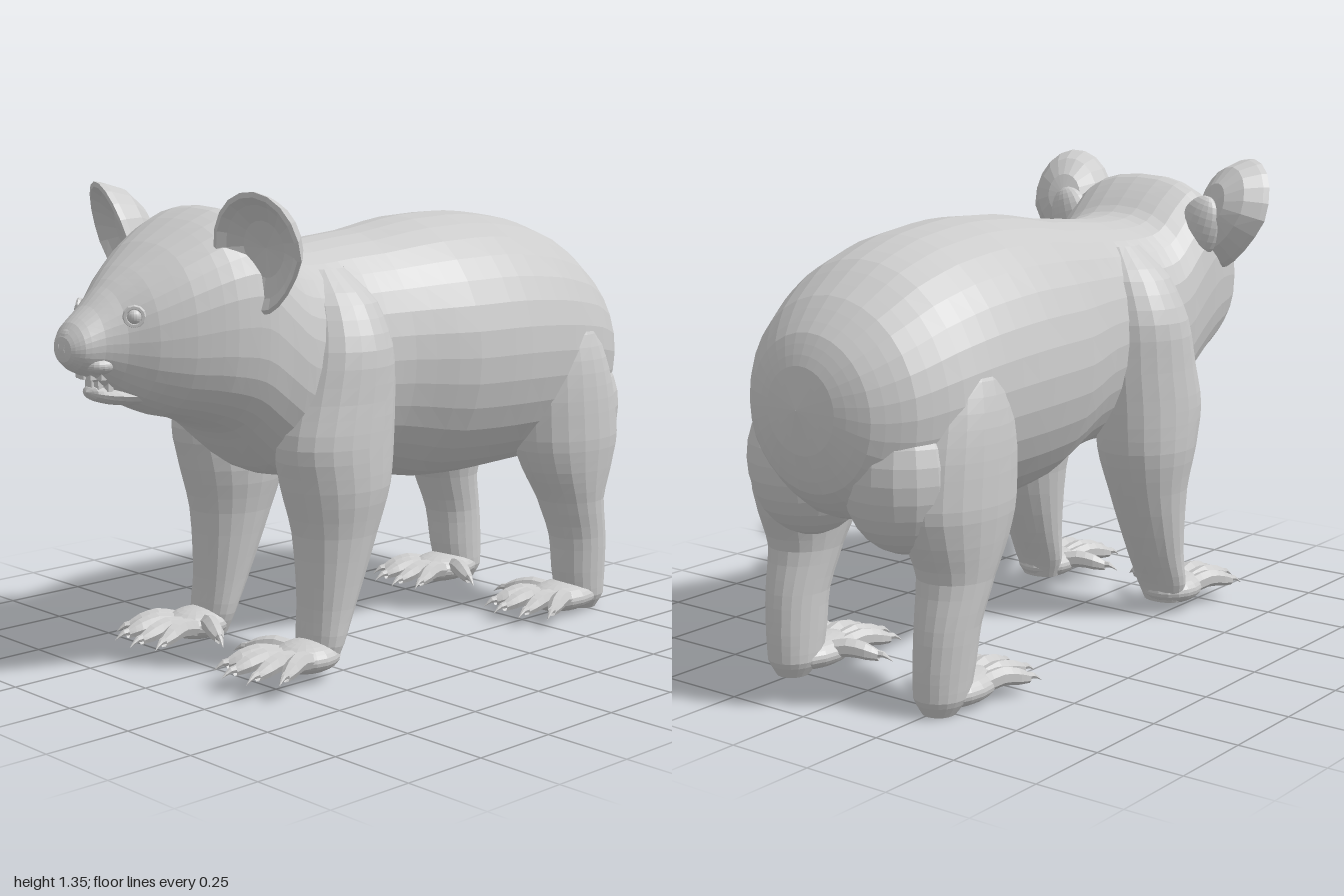
import * as THREE from 'three';

const material = new THREE.MeshStandardMaterial({ color: 0xcccccc, flatShading: true, side: THREE.DoubleSide });

function add(parent, name, geometry, x = 0, y = 0, z = 0) {
  const mesh = new THREE.Mesh(geometry, material);
  mesh.name = name;
  mesh.position.set(x, y, z);
  parent.add(mesh);
  return mesh;
}

// Smooth skin over sections [x, y, z, radius, second radius, roundness (1 = ellipse, less = squarer)].
// Upright sections lie across z (rows run toward +z); flat ones lie across y (rows run downward).
function loft(rows, sides, steps, upright = true, side = 1) {
  const centres = new THREE.CatmullRomCurve3(rows.map(r => new THREE.Vector3(r[0] * side, r[1], r[2])));
  const radii = new THREE.CatmullRomCurve3(rows.map(r => new THREE.Vector3(r[3], r[4], r[5] ?? 1)));
  const position = [], index = [];
  for (let i = 0; i <= steps; i++) {
    const c = centres.getPoint(i / steps), r = radii.getPoint(i / steps);
    const bend = t => Math.sign(t) * Math.abs(t) ** r.z;
    for (let j = 0; j < sides; j++) {
      const a = (j / sides) * Math.PI * 2;
      const u = bend(Math.cos(a)) * Math.max(r.x, 0.0005), v = bend(Math.sin(a)) * Math.max(r.y, 0.0005);
      position.push(c.x + u, c.y + (upright ? v : 0), c.z + (upright ? 0 : v));
      if (i === steps) continue;
      const p = i * sides + j, q = i * sides + (j + 1) % sides;
      index.push(p, q, q + sides, p, q + sides, p + sides);
    }
  }
  const geometry = new THREE.BufferGeometry();
  geometry.setAttribute('position', new THREE.Float32BufferAttribute(position, 3));
  geometry.setIndex(index);
  geometry.computeVertexNormals();
  return geometry;
}

function ellipsoid(rx, ry, rz) {
  return new THREE.SphereGeometry(1, 18, 14).scale(rx, ry, rz);
}

// Rump to nose in one skin: depth, top, bottom, half width, roundness
const trunk = [
  [-1, 0.81, 0.81, 0, 1], [-0.985, 0.92, 0.69, 0.115, 1], [-0.95, 1.0, 0.585, 0.205, 1], [-0.87, 1.085, 0.51, 0.288, 1],
  [-0.75, 1.165, 0.475, 0.342, 1], [-0.6, 1.215, 0.455, 0.362, 1], [-0.4, 1.24, 0.45, 0.365, 1],
  [-0.2, 1.235, 0.46, 0.348, 1], [0, 1.205, 0.51, 0.285, 1], [0.12, 1.195, 0.525, 0.265, 1],
  [0.28, 1.183, 0.53, 0.275, 0.92], [0.38, 1.195, 0.555, 0.285, 0.88], [0.46, 1.255, 0.615, 0.285, 0.85],
  [0.54, 1.298, 0.685, 0.285, 0.8], [0.63, 1.268, 0.727, 0.265, 0.8], [0.73, 1.212, 0.755, 0.22, 0.85],
  [0.81, 1.155, 0.79, 0.168, 0.92], [0.87, 1.105, 0.83, 0.115, 1], [0.92, 1.06, 0.87, 0.085, 1],
  [0.97, 1.02, 0.895, 0.066, 1], [0.995, 0.985, 0.92, 0.037, 1], [1, 0.955, 0.95, 0, 1],
].map(([z, top, bottom, half, round]) => [0, (top + bottom) / 2, z, half, (top - bottom) / 2, round]);

const frontLeg = [
  [0.14, 1.12, 0.22, 0.05, 0.06], [0.175, 1.03, 0.215, 0.12, 0.12], [0.207, 0.91, 0.22, 0.142, 0.15],
  [0.217, 0.77, 0.238, 0.14, 0.172], [0.222, 0.65, 0.257, 0.139, 0.185], [0.22, 0.53, 0.25, 0.138, 0.165],
  [0.222, 0.4, 0.255, 0.114, 0.125], [0.226, 0.2, 0.293, 0.09, 0.075], [0.23, 0.1, 0.32, 0.082, 0.052],
  [0.23, 0.04, 0.33, 0.06, 0.04],
];

const hindLeg = [
  [0.18, 1.0, -0.64, 0.06, 0.06], [0.22, 0.91, -0.65, 0.12, 0.115], [0.24, 0.8, -0.66, 0.136, 0.155],
  [0.25, 0.68, -0.67, 0.138, 0.182], [0.253, 0.56, -0.68, 0.137, 0.188], [0.26, 0.46, -0.685, 0.12, 0.158],
  [0.264, 0.36, -0.698, 0.1, 0.108], [0.265, 0.24, -0.733, 0.085, 0.093], [0.262, 0.13, -0.745, 0.078, 0.09],
  [0.26, 0.05, -0.755, 0.072, 0.078], [0.26, 0.005, -0.765, 0.045, 0.045],
];

// Flat palm with four splayed toes, an inner thumb and hooked claws
function foot(parent, name, side, x, y, z, palmLength) {
  const group = new THREE.Group();
  group.name = name;
  group.position.set(x * side, y, z);
  parent.add(group);
  add(group, 'palm', ellipsoid(0.088, 0.046, palmLength));
  const toes = [[-1.15, -0.03, 0, 0.2], [-0.32, -0.045, 0.05, 0.2], [-0.08, -0.018, 0.055, 0.22],
    [0.14, 0.022, 0.05, 0.213], [0.4, 0.045, 0.03, 0.19]];
  for (const [turn, x0, z0, length] of toes) {
    const toe = loft([[0, 0, 0, 0.028, 0.028], [0, 0.016, length * 0.35, 0.026, 0.027],
      [0, 0.008, length * 0.62, 0.024, 0.024], [0, -0.002, length * 0.8, 0.013, 0.015]], 7, 6);
    const claw = loft([[0, 0.002, length * 0.72, 0.01, 0.013], [0, 0.002, length * 0.87, 0.008, 0.009],
      [0, -0.016, length, 0, 0]], 6, 4);
    for (const [part, geometry] of [['toe', toe], ['claw', claw]]) {
      add(group, part, geometry, x0 * side, 0, z0).rotation.y = turn * side;
    }
  }
}

export function createModel() {
  const model = new THREE.Group();
  model.name = 'koala';
  add(model, 'bodyAndHead', loft(trunk, 32, 63));

  const face = new THREE.Group();
  face.name = 'face';
  model.add(face);

  // Lower jaw, teeth and nose
  add(face, 'lowerJaw', loft([[0, 0.83, 0.68, 0.12, 0.06], [0, 0.822, 0.8, 0.095, 0.035],
    [0, 0.825, 0.87, 0.06, 0.026], [0, 0.832, 0.91, 0.035, 0.018], [0, 0.835, 0.925, 0, 0]], 14, 12));
  for (let i = -2; i <= 2; i++) {
    const z = 0.93 - 0.006 * i * i;
    add(face, 'upperTooth', new THREE.BoxGeometry(0.02, 0.04, 0.018), i * 0.022, 0.89, z);
    add(face, 'lowerTooth', new THREE.BoxGeometry(0.018, 0.03, 0.016), i * 0.02, 0.852, z - 0.025);
  }
  add(face, 'nose', ellipsoid(0.045, 0.045, 0.03), 0, 0.965, 0.968);

  // Cupped ear: convex back, thick rim, hollow front facing +z
  const ear = new THREE.LatheGeometry([[0, -0.095], [0.06, -0.087], [0.112, -0.052], [0.143, 0], [0.15, 0.018],
    [0.138, 0.022], [0.115, 0.004], [0.07, -0.018], [0, -0.028]].map(p => new THREE.Vector2(...p)), 20);
  ear.rotateX(Math.PI / 2);
  ear.scale(0.86, 1.13, 1);
  // Narrow the lower part toward the root
  const p = ear.attributes.position;
  for (let i = 0; i < p.count; i++) p.setX(i, p.getX(i) * (p.getY(i) < 0 ? 1 + p.getY(i) * 2 : 1));
  ear.computeVertexNormals();

  for (const side of [1, -1]) {
    const label = side > 0 ? 'left' : 'right';
    add(face, label + 'Ear', ear, 0.297 * side, 1.195, 0.585).rotation.set(0.3, 0.3 * side, -0.2 * side);
    add(face, label + 'EarRoot', ellipsoid(0.07, 0.1, 0.045), 0.235 * side, 1.15, 0.5)
      .rotation.z = -0.3 * side;

    // Eye with a lid ring, nostril and lip
    add(face, label + 'Eye', ellipsoid(0.021, 0.021, 0.021), 0.112 * side, 1.035, 0.85);
    add(face, label + 'Eyelid', new THREE.TorusGeometry(0.024, 0.007, 6, 12), 0.117 * side, 1.035, 0.854)
      .rotation.y = 0.85 * side;
    add(face, label + 'Nostril', new THREE.TorusGeometry(0.013, 0.005, 5, 10), 0.022 * side, 0.955, 0.99)
      .rotation.y = 0.4 * side;
    add(face, label + 'Lip', ellipsoid(0.04, 0.025, 0.045), 0.045 * side, 0.91, 0.91).rotation.y = 0.4 * side;

    // Limbs, with a buttock easing the rump into the thigh
    add(model, label + 'FrontLeg', loft(frontLeg, 20, 27, false, side));
    add(model, label + 'HindLeg', loft(hindLeg, 20, 30, false, side));
    add(model, label + 'Buttock', ellipsoid(0.17, 0.21, 0.17), 0.165 * side, 0.63, -0.775);
    foot(model, label + 'FrontFoot', side, 0.235, 0.07, 0.375, 0.1);
    foot(model, label + 'HindFoot', side, 0.255, 0.052, -0.68, 0.13);
  }
  return model;
}
